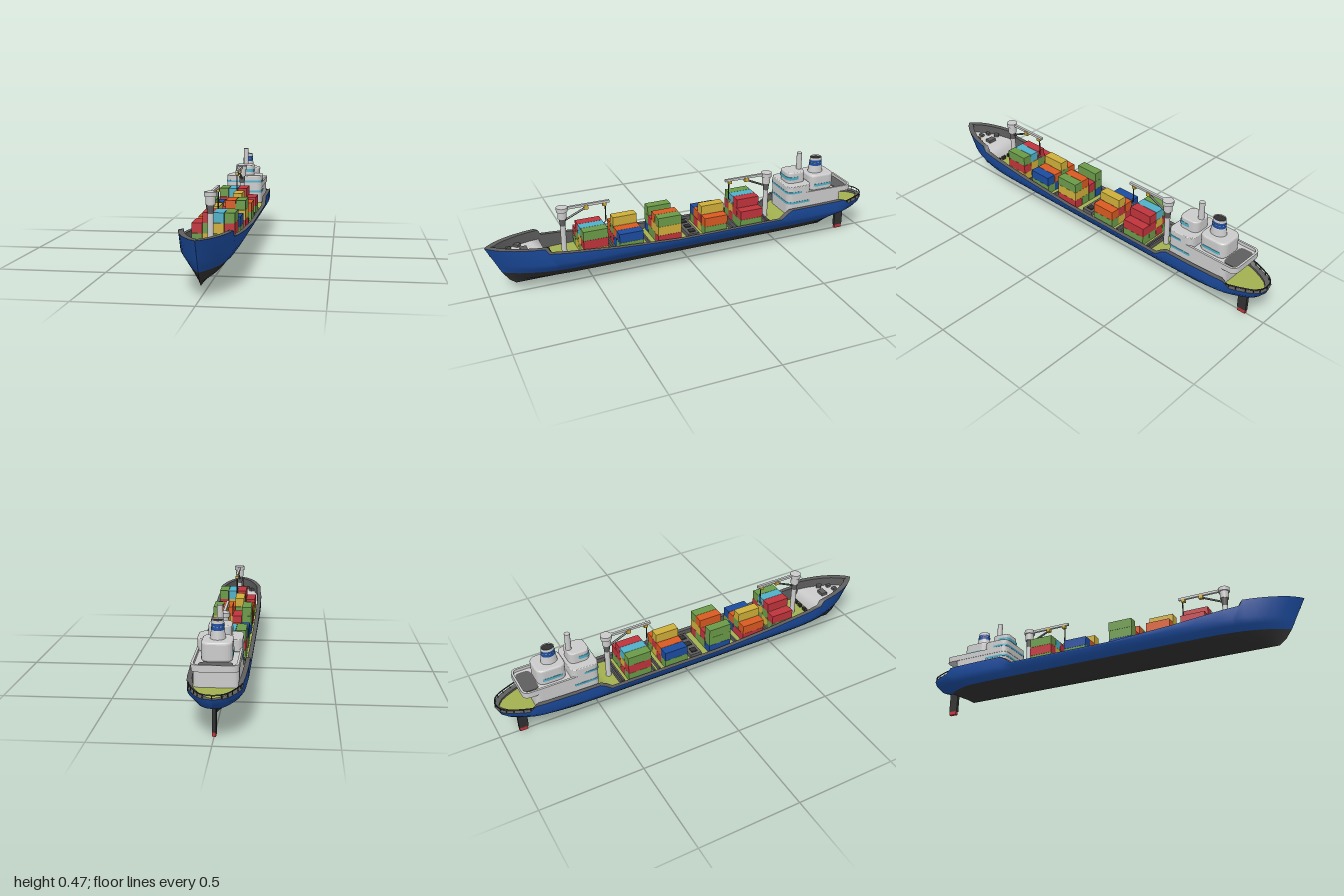
import * as THREE from 'three';

const mat = (name, color, side = THREE.FrontSide) => {
  const m = new THREE.MeshStandardMaterial({ color, side });
  m.name = name;
  return m;
};
const M = {
  blue: mat('hull blue', 0x1c4c9f, THREE.DoubleSide),
  black: mat('bottom black', 0x303030, THREE.DoubleSide),
  light: mat('light grey', 0xcbcbcb, THREE.DoubleSide),
  dark: mat('dark grey', 0x5e5e5e, THREE.DoubleSide),
  deck: mat('deck green', 0xa2b050, THREE.DoubleSide),
  red: mat('red', 0xc0343c),
  orange: mat('orange', 0xd85a22),
  yellow: mat('yellow', 0xcfae3a),
  green: mat('container green', 0x6b9a48),
  cyan: mat('window cyan', 0x50b0c8),
};

// Piecewise linear lookup in [x, y] pairs
const lerpTable = (t) => (x) => {
  let i = 1;
  while (i < t.length - 1 && x > t[i][0]) i++;
  const [a, b] = [t[i - 1], t[i]];
  return a[1] + (b[1] - a[1]) * THREE.MathUtils.clamp((x - a[0]) / (b[0] - a[0]), 0, 1);
};
const STATIONS = [-1, -0.99, -0.97, -0.94, -0.9, -0.87, -0.84, -0.8, -0.65, -0.53, -0.5, -0.47, -0.3, 0, 0.1,
  0.25, 0.4, 0.55, 0.65, 0.73, 0.745, 0.79, 0.84, 0.88, 0.92, 0.95, 0.98, 1];
const plan = lerpTable([[-1, 0], [-0.99, 0.32], [-0.97, 0.5], [-0.94, 0.64], [-0.9, 0.79], [-0.87, 0.88], [-0.84, 0.93],
  [-0.8, 0.96], [-0.65, 1], [0.5, 1], [0.65, 0.985], [0.745, 0.92], [0.79, 0.86], [0.84, 0.76], [0.88, 0.65],
  [0.92, 0.51], [0.95, 0.37], [0.98, 0.18], [1, 0]]);
const rimY = lerpTable([[-1, 0.19], [-0.87, 0.19], [-0.84, 0.217], [-0.53, 0.217], [-0.5, 0.2], [-0.47, 0.176],
  [0.1, 0.176], [0.4, 0.194], [0.73, 0.225], [0.745, 0.252], [1, 0.255]]);
const deckY = lerpTable([[-1, 0.18], [-0.53, 0.18], [-0.5, 0.152], [0.73, 0.152], [0.745, 0.205], [1, 0.208]]);
const BEAM = 0.124;

// Surface through rows of points
function loft(rows) {
  const n = rows[0].length, idx = [];
  for (let i = 0; i < rows.length - 1; i++)
    for (let j = 0; j < n - 1; j++) {
      const a = i * n + j, c = a + n;
      idx.push(a, a + 1, c, a + 1, c + 1, c);
    }
  const g = new THREE.BufferGeometry();
  g.setAttribute('position', new THREE.Float32BufferAttribute(rows.flat(2), 3));
  g.setIndex(idx);
  g.computeVertexNormals();
  return g;
}
// Half outline mirrored into a full loop
const loop = (half) => [...half, ...half.map(([x, y, z]) => [-x, y, z]).reverse()];

function add(parent, name, geo, material, x = 0, y = 0, z = 0) {
  const m = new THREE.Mesh(geo, material);
  m.name = name;
  m.position.set(x, y, z);
  parent.add(m);
  return m;
}
const box = (p, name, w, h, d, m, x, y, z) => add(p, name, new THREE.BoxGeometry(w, h, d), m, x, y, z);
const cyl = (p, name, rt, rb, y0, y1, m, x, z, open = false) =>
  add(p, name, new THREE.CylinderGeometry(rt, rb, y1 - y0, 20, 1, open), m, x, (y0 + y1) / 2, z);
function rod(p, name, a, b, r, m) {
  const curve = new THREE.LineCurve3(new THREE.Vector3(...a), new THREE.Vector3(...b));
  return add(p, name, new THREE.TubeGeometry(curve, 1, r, 8), m);
}
function roundRect(T, hw, z0, z1, r) {
  const s = new T();
  s.moveTo(-hw + r, -z0).lineTo(hw - r, -z0).quadraticCurveTo(hw, -z0, hw, -z0 - r)
    .lineTo(hw, -z1 + r).quadraticCurveTo(hw, -z1, hw - r, -z1).lineTo(-hw + r, -z1)
    .quadraticCurveTo(-hw, -z1, -hw, -z1 + r).lineTo(-hw, -z0 - r).quadraticCurveTo(-hw, -z0, -hw + r, -z0);
  return s;
}
// Rounded block standing on y0, optionally hollow or with a bevelled top
function slab(p, name, hw, z0, z1, y0, y1, r, m, { bevel = 0, wall = 0 } = {}) {
  const s = roundRect(THREE.Path === null ? null : THREE.Shape, hw - bevel, z0 + bevel, z1 - bevel, r);
  if (wall) s.holes.push(roundRect(THREE.Path, hw - wall, z0 + wall, z1 - wall, r * 0.8));
  const g = new THREE.ExtrudeGeometry(s, {
    depth: y1 - y0 - 2 * bevel, bevelEnabled: bevel > 0, bevelSize: bevel, bevelThickness: bevel, bevelSegments: 3, curveSegments: 6,
  });
  g.rotateX(-Math.PI / 2);
  return add(p, name, g, m, 0, y0 + bevel, 0);
}

function buildHull(root) {
  const hull = new THREE.Group();
  hull.name = 'hull';
  root.add(hull);
  // Each level: height, half width, stern z, bow z, fineness
  const level = (y, w, zs, zb, pow) => loop(STATIONS.map((s) =>
    [w * Math.pow(plan(s), pow), y, zs + (zb - zs) * (s + 1) / 2]));
  const rim = loop(STATIONS.map((s) => [BEAM * plan(s), rimY(s), s]));
  const water = level(0.115, 0.089, -0.89, 0.93, 1.25);
  add(hull, 'hullSide', loft([rim, level(0.166, BEAM, -0.99, 0.955, 1.08), level(0.14, 0.108, -0.965, 0.943, 1.15), water]), M.blue);
  add(hull, 'hullBottom', loft([water, level(0.072, 0.047, -0.8, 0.9, 1.2), level(0.048, 0, -0.76, 0.87, 1)]), M.black);
  // Bulwark cap and inner wall
  const inner = (yOf) => STATIONS.map((s) => [Math.max(0, BEAM * plan(s) - 0.02), yOf(s), s * 0.98]);
  const rimIn = loop(inner(rimY)), deckHalf = inner(deckY);
  add(hull, 'gunwale', loft([rimIn, rim]), M.dark);
  add(hull, 'bulwark', loft([loop(deckHalf), rimIn]), M.dark);
  // Decks
  const deck = (half) => loft([half.map(([x, y, z]) => [-x, y, z]), half]);
  const split = STATIONS.indexOf(0.73);
  add(hull, 'mainDeck', deck(deckHalf.slice(0, split + 1)), M.deck);
  add(hull, 'foredeck', deck(deckHalf.slice(split)), M.light);
  // Stern railing
  const rail = rim.filter((p) => p[2] <= -0.84).map(([x, , z]) => new THREE.Vector3(x * 0.96, 0.206, z * 0.994));
  const half = rail.length / 2;
  const path = [...rail.slice(half), ...rail.slice(1, half)];
  add(hull, 'sternRail', new THREE.TubeGeometry(new THREE.CatmullRomCurve3(path), 48, 0.003, 6), M.black);
  for (const v of path) cyl(hull, 'railPost', 0.002, 0.002, 0.185, 0.206, M.black, v.x, v.z);
  // Rudder
  box(hull, 'rudder', 0.016, 0.1, 0.046, M.black, 0, 0.068, -0.884);
  box(hull, 'rudderTip', 0.016, 0.02, 0.04, M.red, 0, 0.01, -0.885);
}

function buildCargo(root) {
  const cargo = new THREE.Group();
  cargo.name = 'cargo';
  root.add(cargo);
  const key = { r: M.red, o: M.orange, y: M.yellow, g: M.green, c: M.cyan, b: M.blue };
  // Stacks from the ship's right to left, colours from the bottom up
  const bays = [
    [0.5, ['gr', 'ygr', 'gyc', 'yrg']],
    [0.325, ['ro', 'rgy', 'bo', 'gb']],
    [0.13, ['bgg', 'gr', 'gyo', 'ryg']],
    [-0.115, ['gb', 'ro', 'yry', 'go']],
    [-0.31, ['grg', 'ryc', 'grr', 'gr']],
  ];
  for (const [z, stacks] of bays)
    stacks.forEach((stack, i) => [...stack].forEach((c, k) =>
      box(cargo, 'container', 0.0465, 0.0455, 0.12, key[c], (i - 1.5) * 0.0478, 0.178 + k * 0.0462, z)));
  // Lashing bars and central hatch
  for (const z of [0.42, 0.4, 0.228, -0.205, -0.232, -0.395, -0.41])
    box(cargo, 'lashingBar', 0.186, 0.02, 0.008, M.dark, 0, 0.162, z);
  box(cargo, 'hatch', 0.17, 0.022, 0.06, M.dark, 0, 0.163, 0);
  for (const x of [-0.055, 0, 0.055]) box(cargo, 'hatchLid', 0.03, 0.006, 0.03, M.black, x, 0.176, 0);
}

function buildCrane(root, z, turn) {
  const c = new THREE.Group();
  c.name = 'crane';
  c.position.z = z;
  c.rotation.y = turn;
  root.add(c);
  cyl(c, 'craneColumn', 0.013, 0.013, 0.15, 0.305, M.light, 0, 0);
  cyl(c, 'craneCollar', 0.017, 0.013, 0.3, 0.338, M.dark, 0, 0);
  cyl(c, 'craneHead', 0.021, 0.021, 0.338, 0.374, M.light, 0, 0);
  cyl(c, 'craneCap', 0.027, 0.027, 0.374, 0.394, M.light, 0, 0);
  box(c, 'craneJib', 0.012, 0.012, 0.23, M.light, 0, 0.386, 0.115);
  rod(c, 'craneBrace', [0, 0.325, 0.01], [0, 0.375, 0.12], 0.005, M.dark);
  box(c, 'jibBlock', 0.018, 0.02, 0.02, M.yellow, 0, 0.375, 0.115);
  box(c, 'trolley', 0.016, 0.015, 0.018, M.yellow, 0, 0.374, 0.205);
  rod(c, 'craneCable', [0, 0.375, 0.21], [0, 0.285, 0.21], 0.003, M.black);
  const hook = add(c, 'hook', new THREE.TorusGeometry(0.009, 0.003, 6, 14, Math.PI * 1.5), M.light, 0, 0.275, 0.21);
  hook.rotation.set(0, Math.PI / 2, Math.PI);
}

function buildHouse(root) {
  const h = new THREE.Group();
  h.name = 'deckhouse';
  root.add(h);
  slab(h, 'lowerHouse', 0.095, -0.83, -0.517, 0.15, 0.264, 0.03, M.light);
  slab(h, 'lowerWindows', 0.0965, -0.66, -0.5155, 0.236, 0.247, 0.03, M.cyan);
  slab(h, 'boatDeck', 0.097, -0.885, -0.515, 0.262, 0.276, 0.035, M.light);
  slab(h, 'boatDeckWall', 0.097, -0.885, -0.515, 0.276, 0.291, 0.035, M.light, { wall: 0.01 });
  slab(h, 'aftDeckFloor', 0.07, -0.872, -0.8, 0.275, 0.279, 0.025, M.dark);
  slab(h, 'middleHouse', 0.097, -0.65, -0.515, 0.276, 0.331, 0.03, M.light, { bevel: 0.004 });
  slab(h, 'middleWindows', 0.0985, -0.61, -0.5135, 0.293, 0.303, 0.03, M.cyan);
  slab(h, 'wheelhouse', 0.05, -0.637, -0.537, 0.325, 0.386, 0.025, M.light, { bevel: 0.006 });
  slab(h, 'wheelhouseWindows', 0.0515, -0.61, -0.5355, 0.348, 0.364, 0.025, M.cyan);
  slab(h, 'aftHouse', 0.065, -0.8, -0.66, 0.276, 0.358, 0.03, M.light, { bevel: 0.009 });
  slab(h, 'aftWindows', 0.0665, -0.79, -0.67, 0.298, 0.311, 0.03, M.cyan);
  // Mast and funnel
  cyl(h, 'mast', 0.0135, 0.0135, 0.38, 0.473, M.light, 0, -0.622);
  const funnel = new THREE.Group();
  funnel.name = 'funnel';
  funnel.position.z = -0.72;
  funnel.scale.z = 1.2;
  h.add(funnel);
  cyl(funnel, 'funnelBase', 0.028, 0.034, 0.35, 0.395, M.light, 0, 0);
  cyl(funnel, 'funnelBand', 0.026, 0.028, 0.395, 0.423, M.blue, 0, 0);
  cyl(funnel, 'funnelTop', 0.025, 0.026, 0.423, 0.437, M.light, 0, 0, true);
  cyl(funnel, 'funnelMouth', 0.025, 0.025, 0.425, 0.43, M.black, 0, 0);
  for (let i = 0; i < 12; i++) {
    const a = (i / 12) * Math.PI * 2;
    box(funnel, 'funnelMark', 0.007, 0.003, 0.002, M.light, Math.sin(a) * 0.0268, 0.411, Math.cos(a) * 0.0268).rotation.y = a;
  }
}

function buildForedeckGear(root) {
  const g = new THREE.Group();
  g.name = 'foredeckGear';
  root.add(g);
  box(g, 'windlass', 0.042, 0.016, 0.032, M.dark, 0, 0.213, 0.82);
  for (const s of [-1, 1]) {
    box(g, 'winch', 0.025, 0.014, 0.025, M.dark, s * 0.058, 0.212, 0.84).rotation.y = Math.PI / 4;
    box(g, 'bollard', 0.014, 0.014, 0.022, M.dark, s * 0.035, 0.213, 0.885);
    for (const x of [0.02, 0.055]) box(g, 'deckBollard', 0.022, 0.016, 0.012, M.black, s * x, 0.16, 0.695);
  }
  box(g, 'bollard', 0.018, 0.014, 0.022, M.dark, 0, 0.213, 0.898);
}

export function createModel() {
  const ship = new THREE.Group();
  ship.name = 'containerShip';
  buildHull(ship);
  buildCargo(ship);
  buildCrane(ship, 0.63, Math.PI);
  buildCrane(ship, -0.435, 0);
  buildHouse(ship);
  buildForedeckGear(ship);
  return ship;
}
